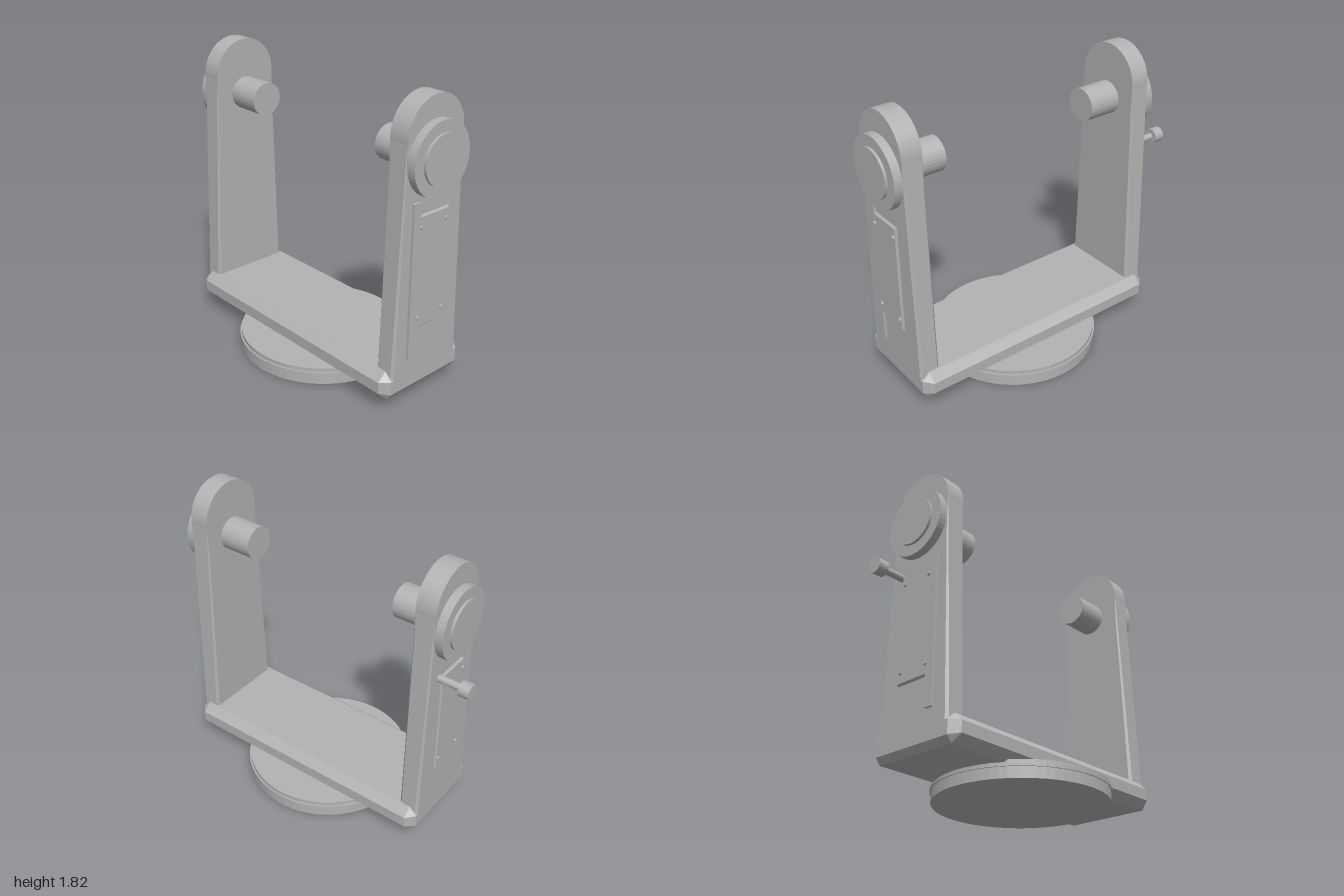
import * as THREE from 'three';
import { ConvexGeometry } from 'three/addons/geometries/ConvexGeometry.js';

const CX = 0.07;      // middle of the fork along x
const HALF = 0.86;    // fork middle to the outer face of an arm
const THICK = 0.125;  // arm thickness

export function createModel() {
  const model = new THREE.Group();
  const grey = new THREE.MeshStandardMaterial({ color: 0xb2b2b2 });
  grey.flatShading = true;

  const add = (parent, name, geometry) => {
    const mesh = new THREE.Mesh(geometry, grey);
    mesh.name = name;
    parent.add(mesh);
    return mesh;
  };
  const hull = (pts) => new ConvexGeometry(pts.map((p) => new THREE.Vector3(...p)));
  // Cylinder lying along x between x0 and x1
  const rod = (x0, x1, r, y, z, sides = 40) =>
    new THREE.CylinderGeometry(r, r, Math.abs(x1 - x0), sides)
      .rotateZ(Math.PI / 2).translate((x0 + x1) / 2, y, z);

  // Round turntable with a thin raised band
  const profile = [[0, 0], [0.518, 0], [0.518, 0.065], [0.525, 0.065], [0.525, 0.08],
    [0.515, 0.08], [0.515, 0.105], [0, 0.105]].map((p) => new THREE.Vector2(...p));
  add(model, 'turntable', new THREE.LatheGeometry(profile, 64)).position.x = CX;

  // Crossbar with chamfered edges and corners
  const bar = [];
  for (const sx of [-1, 1]) for (const sz of [-1, 1]) {
    const end = CX + sx * HALF, inner = CX + sx * (HALF - 0.05);
    bar.push([end, 0.13, sz * 0.27], [end, 0.215, sz * 0.27],
      [inner, 0.14, sz * 0.322], [inner, 0.21, sz * 0.322],
      [CX + sx * (HALF - 0.03), 0.09, sz * 0.27], [inner, 0.26, sz * 0.27]);
  }
  add(model, 'crossbar', hull(bar));

  // Both arms; s is the side of the fork
  for (const s of [-1, 1]) {
    const arm = new THREE.Group();
    arm.name = s > 0 ? 'leftArm' : 'rightArm';
    model.add(arm);
    const X = (out) => CX + s * (HALF + out); // distance outward from the outer face

    // Tapered post with chamfered edges: [y, half depth, chamfer]
    const post = [];
    for (const [y, h, c] of [[0.13, 0.268, 0.016], [1.58, 0.214, 0.006]])
      for (const sz of [-1, 1])
        post.push([X(0), y, sz * (h - c)], [X(-c), y, sz * h],
          [X(c - THICK), y, sz * h], [X(-THICK), y, sz * (h - c)]);
    add(arm, 'post', hull(post));

    // Rounded head
    const head = new THREE.Shape();
    head.moveTo(-0.213, 1.43);
    head.lineTo(0.213, 1.43);
    head.lineTo(0.213, 1.602);
    head.absarc(0, 1.602, 0.213, 0, Math.PI, false);
    head.closePath();
    add(arm, 'head', new THREE.ExtrudeGeometry(head,
      { depth: THICK, bevelEnabled: false, curveSegments: 20 })
      .rotateY(-Math.PI / 2).translate(Math.max(X(0), X(-THICK)), 0, 0));

    // Bearing cover, its cap and the pin on the inside
    add(arm, 'bearingCover', rod(X(-0.02), X(0.05), 0.213, 1.473, 0, 48));
    add(arm, 'bearingCap', rod(X(0.04), X(0.066), 0.146, 1.473, 0, 48));
    add(arm, 'pin', rod(X(-THICK + 0.02), X(-0.34), 0.103, 1.473, 0, 32));

    // Access panel with a long strip along its front edge
    add(arm, 'panelStrip', new THREE.BoxGeometry(0.025, 0.945, 0.055)
      .translate(X(0.0025), 0.7825, 0.1325));
    const panel = [];
    for (const [out, e] of [[-0.01, 0.008], [0.007, 0.008], [0.015, 0]])
      for (const y of [0.503 - e, 1.167 + e])
        panel.push([X(out), y, 0.11], [X(out), y, -0.11 - e]);
    add(arm, 'panel', hull(panel));
    for (const y of [0.565, 1.11]) for (const z of [0.1, -0.095])
      add(arm, 'screw', rod(X(0), X(0.026), 0.013, y, z, 16));
  }

  // Clamp knob on the right arm
  const knob = new THREE.Group();
  knob.name = 'clampKnob';
  model.add(knob);
  add(knob, 'knobShaft', rod(-0.78, -0.93, 0.022, 1.173, -0.135, 20));
  add(knob, 'knobHead', rod(-0.935, -1, 0.047, 1.173, -0.135, 24));

  return model;
}
